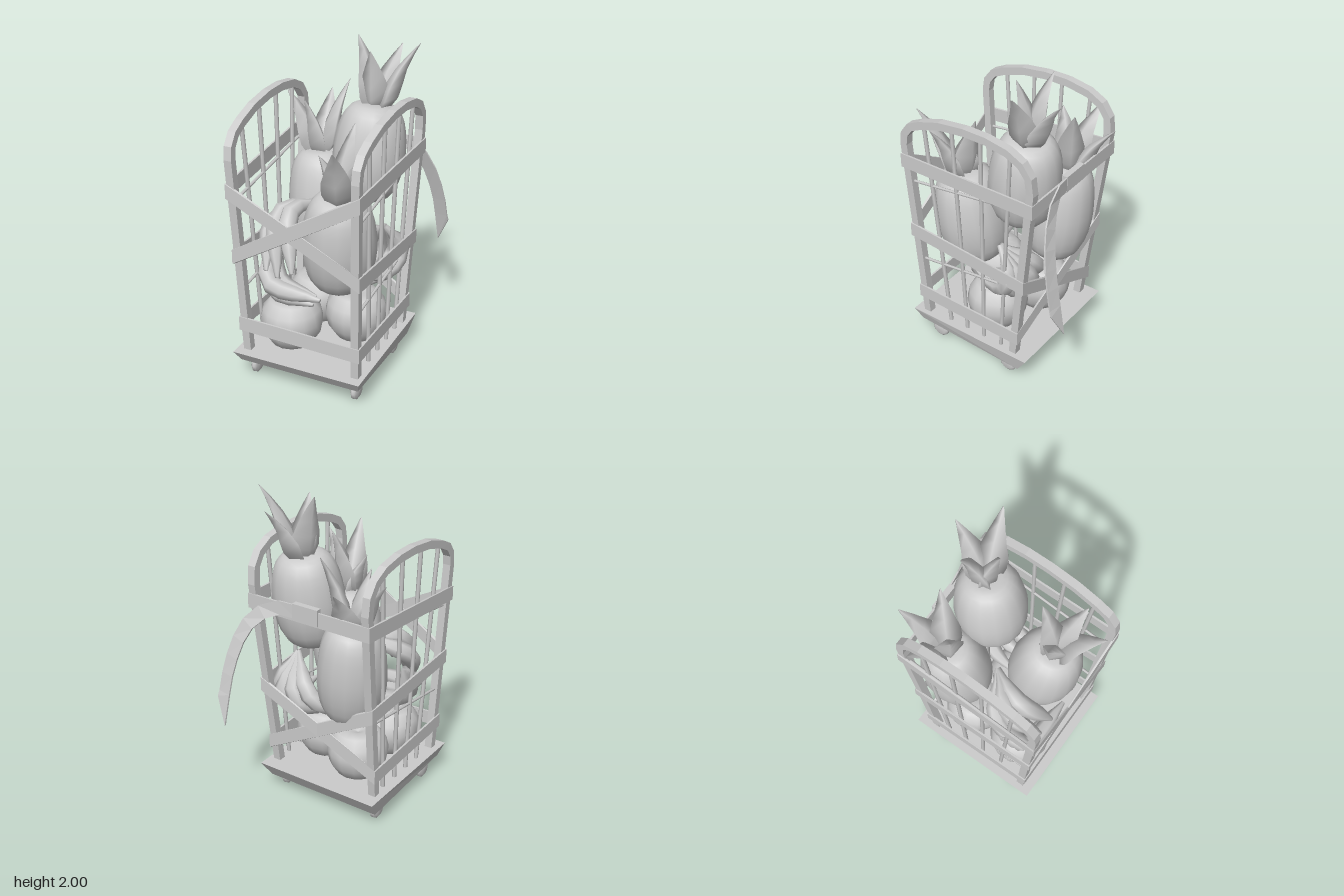
import * as THREE from 'three';

const V = (x, y, z) => new THREE.Vector3(x, y, z);
const lerp = THREE.MathUtils.lerp;
const smoothMat = new THREE.MeshStandardMaterial({ color: 0xcccccc, side: THREE.DoubleSide });
const flatMat = new THREE.MeshStandardMaterial({ color: 0xcccccc, side: THREE.DoubleSide, flatShading: true });

// Skin a list of equal-sized closed rings, capping both ends
function loft(rings) {
  const n = rings[0].length, pos = [], idx = [];
  rings.forEach(r => r.forEach(p => pos.push(p.x, p.y, p.z)));
  for (let i = 0; i < rings.length - 1; i++)
    for (let j = 0; j < n; j++) {
      const a = i * n + j, b = i * n + (j + 1) % n;
      idx.push(a, b, a + n, b, b + n, a + n);
    }
  const end = (rings.length - 1) * n;
  for (let j = 1; j < n - 1; j++) idx.push(0, j + 1, j, end, end + j, end + j + 1);
  const g = new THREE.BufferGeometry();
  g.setAttribute('position', new THREE.Float32BufferAttribute(pos, 3));
  g.setIndex(idx);
  g.computeVertexNormals();
  return g;
}

// Rectangular strip: w and t give half-width and half-thickness vectors at each point
function strip(pts, w, t) {
  return loft(pts.map((p, i) => [[1, 1], [-1, 1], [-1, -1], [1, -1]].map(([a, b]) =>
    p.clone().addScaledVector(w(i), a).addScaledVector(t(i), b))));
}

function add(parent, name, geo, mat = flatMat) {
  const m = new THREE.Mesh(geo, mat);
  m.name = name;
  parent.add(m);
  return m;
}

function rod(parent, name, a, b, r) {
  const m = add(parent, name, new THREE.CylinderGeometry(r, r, a.distanceTo(b), 6), smoothMat);
  m.position.copy(a).lerp(b, 0.5);
  m.quaternion.setFromUnitVectors(V(0, 1, 0), b.clone().sub(a).normalize());
}

// The cage flares outward as it rises
const sideX = (s, y) => -0.033 + s * lerp(0.353, 0.386, (y - 0.2) / 1.3);
const frontZ = y => lerp(0.475, 0.54, (y - 0.2) / 1.2);
const backZ = y => lerp(-0.19, -0.335, (y - 0.2) / 1.2);

function sideFrame(s) {
  const g = new THREE.Group();
  g.name = s > 0 ? 'leftFrame' : 'rightFrame';
  // Hoop: two posts joined by an arched top
  const path = [[0.475, 0.19], [0.51, 0.85], [0.545, 1.45], [0.535, 1.52], [0.49, 1.58], [0.41, 1.62], [0.27, 1.665],
    [0.1, 1.688], [-0.05, 1.688], [-0.19, 1.665], [-0.28, 1.62], [-0.33, 1.55], [-0.34, 1.45], [-0.268, 0.85], [-0.19, 0.19]];
  const pts = path.map(([z, y]) => V(sideX(s, y), y, z));
  const across = i => {
    const a = path[Math.max(i - 1, 0)], b = path[Math.min(i + 1, path.length - 1)];
    return V(0, -(b[0] - a[0]), b[1] - a[1]).normalize().multiplyScalar(0.024);
  };
  add(g, 'hoop', strip(pts, across, () => V(0.024, 0, 0)));
  // Upright bars and two slanted cross bars
  [[0.3, 0.4, 1.62], [0.17, 0.2, 1.675], [0.04, 0, 1.69], [-0.09, -0.2, 1.66]].forEach(([z0, z1, y]) =>
    rod(g, 'uprightBar', V(sideX(s, 0.2), 0.2, z0), V(sideX(s, y), y, z1), 0.013));
  [[0.62, 0.72], [1.19, 1.31]].forEach(([y0, y1]) =>
    rod(g, 'crossBar', V(sideX(s, y0), y0, frontZ(y0)), V(sideX(s, y1), y1, backZ(y1)), 0.009));
  return g;
}

// One long strap wound around the cage, given as [x side, z side, height]
function straps() {
  const g = new THREE.Group();
  g.name = 'straps';
  const turns = [[-1, 1, 0.385], [1, 1, 0.365], [1, -1, 0.345], [-1, -1, 0.8], [-1, 1, 0.84], [1, 1, 1.335],
    [1, -1, 1.345], [-1, -1, 1.345], [-1, 1, 1.26], [1, 1, 0.84], [1, -1, 0.77], [-1, -1, 0.36], [-1, 1, 0.385]];
  const pts = turns.map(([sx, sz, y]) =>
    V(sideX(sx, y) + sx * 0.027, y, sz > 0 ? frontZ(y) + 0.027 : backZ(y) - 0.027));
  add(g, 'woundStrap', strip(pts, () => V(0, 0.045, 0), i => V(turns[i][0] * 0.006, 0, turns[i][1] * 0.006)));
  // Buckle and the loose end hanging behind it, cut at a slant
  add(g, 'buckle', new THREE.BoxGeometry(0.17, 0.1, 0.036)).position.set(-0.025, 1.36, -0.353);
  const curve = new THREE.CatmullRomCurve3([V(0.03, 1.36, -0.36), V(0.18, 1.36, -0.385), V(0.32, 1.25, -0.44),
    V(0.405, 1.02, -0.505), V(0.437, 0.7, -0.578)]);
  const n = 8, out = V(0.15, 0, -1).normalize();
  const width = i => i === n ? V(0.038, 0.08, 0.02)
    : curve.getTangentAt(i / n).cross(out).normalize().multiplyScalar(0.042);
  add(g, 'looseEnd', strip(curve.getSpacedPoints(n), width, () => out.clone().multiplyScalar(0.005)));
  return g;
}

// Pineapple: barrel body with a crown of four pointed leaves reaching to the given tips
function pineapple(name, bottom, top, radius, tips) {
  const g = new THREE.Group();
  g.name = name;
  const h = top.distanceTo(bottom);
  const profile = [[0, 0], [0.4, 0.01], [0.7, 0.075], [0.9, 0.21], [1, 0.43], [0.97, 0.65], [0.86, 0.84], [0.67, 0.955], [0.4, 1], [0, 1]];
  const body = add(g, 'body', new THREE.LatheGeometry(
    new THREE.SplineCurve(profile.map(([r, y]) => new THREE.Vector2(r * radius, y * h))).getPoints(18)
      .map(p => p.setX(Math.max(0, p.x))), 16), smoothMat);
  body.position.copy(bottom);
  body.quaternion.setFromUnitVectors(V(0, 1, 0), top.clone().sub(bottom).normalize());
  const base = top.clone().add(V(0, -0.04, 0));
  tips.forEach(t => {
    const tip = V(...t), d = tip.clone().sub(base);
    const out = V(d.x, 0, d.z).normalize(), side = V(-out.z, 0, out.x);
    const reach = Math.hypot(d.x, d.z);
    const rows = [[0.2, 0, 0.065], [0.4, 0.2, 0.09], [0.5, 0.4, 0.088], [0.63, 0.62, 0.06], [0.82, 0.83, 0.03], [1, 1, 0.003]];
    add(g, 'leaf', loft(rows.map(([r, y, w]) => {
      const c = base.clone().addScaledVector(out, r * reach).add(V(0, y * d.y, 0));
      return [c.clone().addScaledVector(out, w * 0.35),
        c.clone().addScaledVector(side, w).addScaledVector(out, -w * 0.35),
        c.clone().addScaledVector(out, -w * 0.75),
        c.clone().addScaledVector(side, -w).addScaledVector(out, -w * 0.35)];
    })), smoothMat);
  });
  return g;
}

// Bananas: tapered curved tubes sharing one stem; each lists the points after the stem
function bananaBunch(name, stem, list) {
  const g = new THREE.Group();
  g.name = name;
  const radii = [0.018, 0.024, 0.044, 0.054, 0.057, 0.054, 0.046, 0.03, 0.012];
  list.forEach(points => {
    const curve = new THREE.CatmullRomCurve3([stem, ...points.map(p => V(...p))]);
    const n = radii.length - 1, f = curve.computeFrenetFrames(n);
    add(g, 'banana', loft(radii.map((r, i) => Array.from({ length: 7 }, (_, j) => {
      const a = j / 7 * Math.PI * 2;
      return curve.getPointAt(i / n).addScaledVector(f.normals[i], r * Math.cos(a)).addScaledVector(f.binormals[i], r * Math.sin(a));
    }))), smoothMat);
  });
  return g;
}

export function createModel() {
  const model = new THREE.Group();
  model.name = 'fruitCart';
  const lathe = (profile, sides) => new THREE.LatheGeometry(profile.map(p => new THREE.Vector2(...p)), sides);

  // Tray with sloping edges
  const rect = (x0, x1, z0, z1, y0, y1) => [V(x0, y0, z1), V(x1, y0, z1), V(x1, y1, z0), V(x0, y1, z0)];
  add(model, 'tray', loft([rect(-0.425, 0.35, -0.235, 0.51, 0.125, 0.097), rect(-0.45, 0.375, -0.31, 0.56, 0.2, 0.21)]));

  // Wheels: rounded discs
  const wheel = lathe([[0, -0.023], [0.042, -0.021], [0.058, -0.011], [0.06, 0], [0.058, 0.011], [0.042, 0.021], [0, 0.023]], 10).rotateZ(Math.PI / 2);
  for (const x of [-0.37, 0.295]) for (const z of [0.41, -0.13])
    add(model, 'wheel', wheel, smoothMat).position.set(x, 0.06, z);

  model.add(sideFrame(1), sideFrame(-1), straps());

  // Round fruit on the tray
  const round = lathe([[0, 0.03], [0.07, 0], [0.13, 0.03], [0.175, 0.1], [0.19, 0.18], [0.175, 0.25],
    [0.13, 0.305], [0.07, 0.32], [0, 0.29]], 14);
  [[-0.18, 0.31], [0.135, 0.07], [-0.17, -0.04]].forEach(([x, z]) =>
    add(model, 'roundFruit', round, smoothMat).position.set(x, 0.2, z));

  // Pineapples
  model.add(
    pineapple('backLeftPineapple', V(0.105, 1.05, -0.09), V(0.135, 1.63, -0.165), 0.213,
      [[0.38, 2, -0.23], [0, 2, -0.23], [0.2, 1.93, -0.41], [0.14, 1.96, -0.08]]),
    pineapple('backRightPineapple', V(-0.17, 0.63, -0.12), V(-0.225, 1.28, -0.18), 0.207,
      [[-0.48, 1.6, -0.25], [-0.09, 1.7, -0.31], [-0.28, 1.57, -0.46], [-0.29, 1.61, -0.1]]),
    pineapple('frontLeftPineapple', V(0.1, 0.62, 0.23), V(0.135, 1.24, 0.31), 0.217,
      [[0.22, 1.6, 0.57], [0.33, 1.57, 0.38], [0.17, 1.63, 0.18], [0.02, 1.47, 0.33]]));

  // Banana bunches
  model.add(
    bananaBunch('upperBananas', V(-0.1, 1.07, 0.08), [
      [[-0.19, 1.06, 0.28], [-0.09, 0.77, 0.47]], [[-0.27, 1.03, 0.27], [-0.19, 0.72, 0.46]],
      [[-0.33, 0.95, 0.24], [-0.28, 0.73, 0.43]]]),
    bananaBunch('lowerBananas', V(-0.33, 0.86, 0.22), [
      [[-0.27, 0.66, 0.42], [0.08, 0.63, 0.45]], [[-0.26, 0.61, 0.39], [0.02, 0.57, 0.42]],
      [[-0.26, 0.6, 0.3], [-0.02, 0.55, 0.3]]]),
    bananaBunch('backBananas', V(0.26, 0.92, -0.05), [
      [[0.32, 0.74, -0.16], [0.3, 0.64, -0.06], [0.26, 0.66, 0.14]],
      [[0.27, 0.7, -0.2], [0.22, 0.59, -0.09], [0.2, 0.59, 0.12]],
      [[0.18, 0.7, -0.21], [0.12, 0.6, -0.1], [0.08, 0.6, 0.08]],
      [[0.1, 0.74, -0.18], [0.02, 0.64, -0.12], [-0.06, 0.6, 0.02]]]));

  return model;
}
